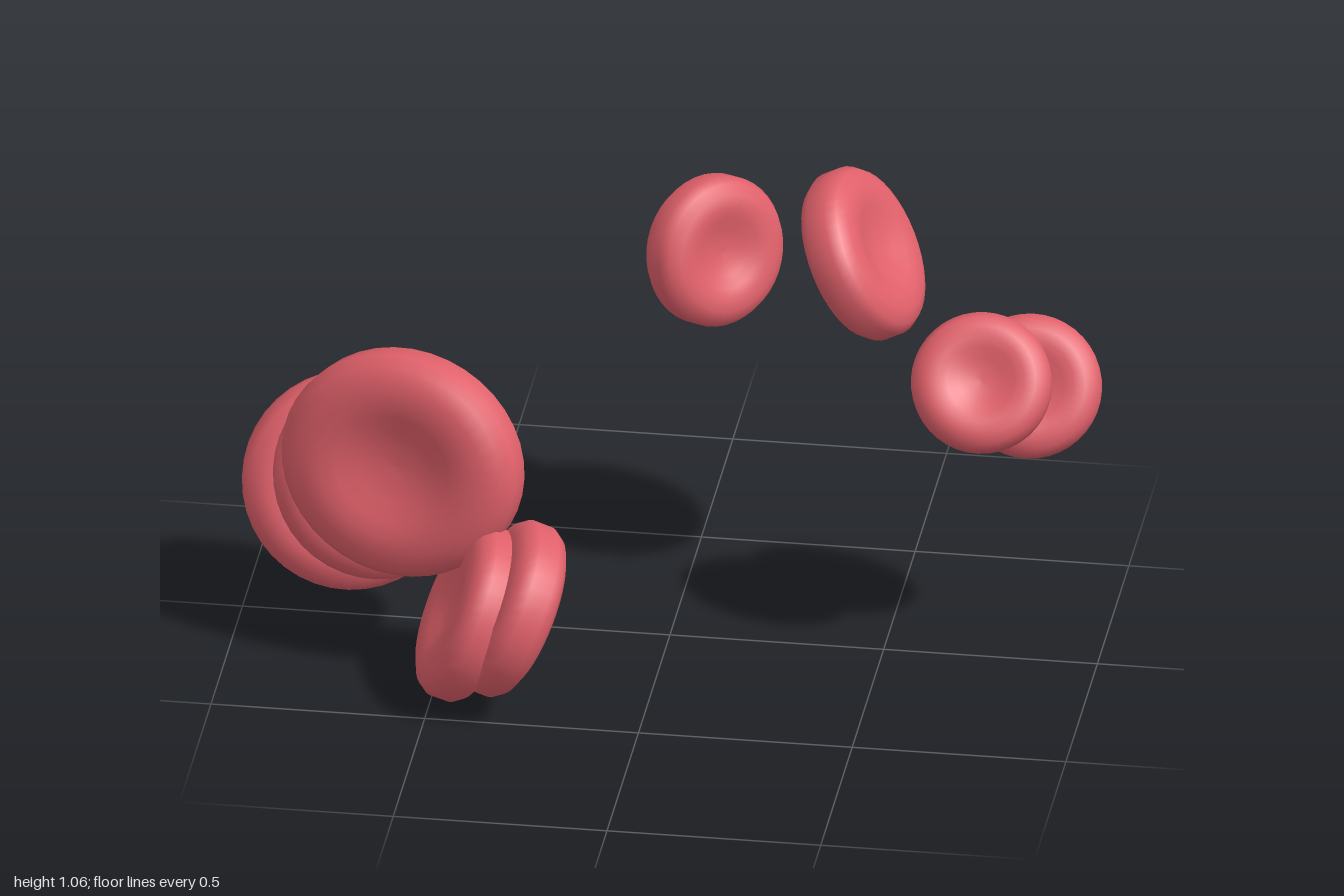
import * as THREE from 'three';

// Biconcave disc with unit radius and unit half thickness, axis along z
function makeDisc() {
  const half = [[0, 0.55], [0.15, 0.58], [0.32, 0.7], [0.48, 0.9], [0.62, 1], [0.78, 0.98], [0.92, 0.76], [1, 0.38]];
  const top = half.map(([r, y]) => new THREE.Vector2(r, y));
  const bottom = half.map(([r, y]) => new THREE.Vector2(r, -y)).reverse();
  const profile = [...top, ...bottom].reverse();
  return new THREE.LatheGeometry(profile, 40).rotateX(Math.PI / 2);
}

export function createModel() {
  const group = new THREE.Group();
  const cellRed = new THREE.MeshStandardMaterial({ color: 0xe0606a });
  cellRed.name = 'cellRed';
  const disc = makeDisc();

  // name, centre, facing direction, [width radius, height radius, half thickness]
  const cells = [
    // single cells at the top
    ['topCellBack', [0.043, 0.795, -0.42], [0.7, 0.22, 0.69], [0.177, 0.177, 0.06]],
    ['topCellTilted', [0.407, 0.87, -0.308], [0.86, 0.48, 0.13], [0.205, 0.205, 0.064]],
    // overlapping pair on the left side
    ['leftPairFront', [0.728, 0.711, -0.006], [0.08, 0.58, 0.81], [0.163, 0.163, 0.055]],
    ['leftPairBack', [0.826, 0.658, -0.108], [0.1, 0.53, 0.84], [0.167, 0.167, 0.056]],
    // large clump on the right side
    ['clumpFrontUpper', [-0.595, 0.511, 0.2], [-0.24, 0.15, 0.96], [0.292, 0.268, 0.078]],
    ['clumpBackUpper', [-0.61, 0.495, 0.155], [-0.22, 0.22, 0.95], [0.26, 0.257, 0.075]],
    ['clumpFrontLower', [-0.67, 0.405, 0.055], [0.08, 0.37, 0.92], [0.247, 0.247, 0.073]],
    ['clumpBackLower', [-0.743, 0.357, 0.01], [0.13, 0.38, 0.91], [0.254, 0.254, 0.073]],
    // pair at the bottom
    ['bottomPairInner', [-0.32, 0.23, 0.357], [0.87, -0.42, -0.2], [0.21, 0.21, 0.065]],
    ['bottomPairOuter', [-0.418, 0.205, 0.345], [0.88, -0.4, -0.2], [0.21, 0.21, 0.065]],
  ];

  const axis = new THREE.Vector3(0, 0, 1);
  for (const [name, centre, facing, size] of cells) {
    const cell = new THREE.Mesh(disc, cellRed);
    cell.name = name;
    cell.position.set(...centre);
    cell.quaternion.setFromUnitVectors(axis, new THREE.Vector3(...facing).normalize());
    cell.scale.set(...size);
    group.add(cell);
  }
  return group;
}
